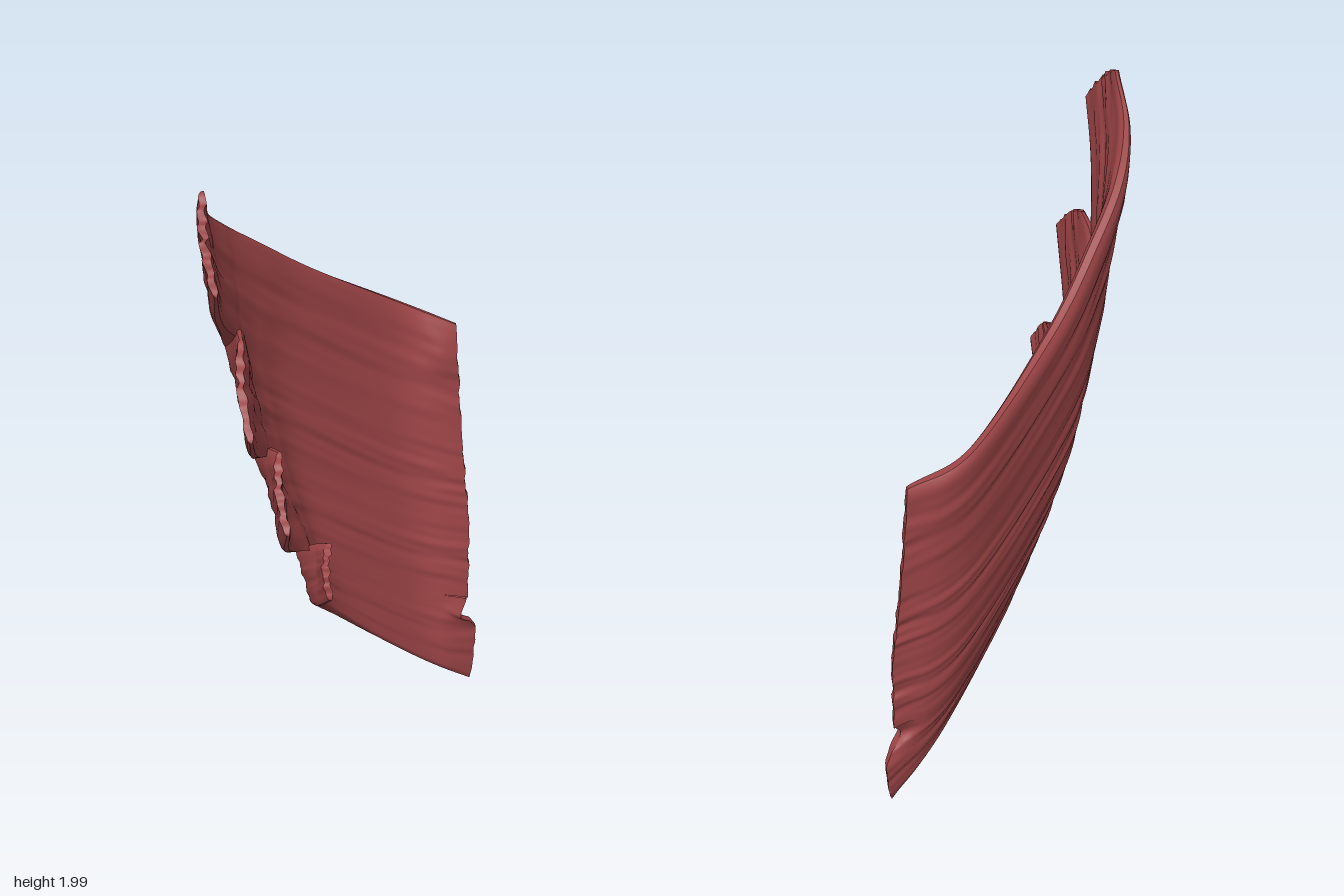
import * as THREE from 'three';
import { mergeVertices } from 'three/addons/utils/BufferGeometryUtils.js';

const NS = 72, NV = 28, HALF = 0.026, NOTCH = 1 / 3;

const curve = (pts) => new THREE.CatmullRomCurve3(
  pts.map((p) => new THREE.Vector3(...p)), false, 'catmullrom', 0.5);

// Fibre lines shared by neighbouring slips, from the notch to the inner border
const seams = [
  [[-0.31, 1.48, -0.09], [-0.18, 1.37, -0.14], [0.02, 1.23, -0.157], [0.42, 0.95, -0.08], [0.607, 0.85, 0.055]],
  [[-0.25, 1.12, -0.04], [-0.15, 1.06, -0.085], [0.02, 0.94, -0.12], [0.42, 0.66, -0.045], [0.605, 0.57, 0.092]],
  [[-0.15, 0.79, 0.025], [-0.08, 0.74, -0.015], [0.05, 0.65, -0.045], [0.42, 0.39, 0.0], [0.59, 0.31, 0.105]],
].map(curve);

// Inner edge of a slip: free from tip to notch, then along the seam
function innerEdge(seam, ...tip) {
  const free = curve([...tip, seam.points[0].toArray()]);
  return (s) => (s < NOTCH ? free.getPoint(s / NOTCH) : seam.getPoint((s - NOTCH) / (1 - NOTCH)));
}

// Outer edge of the sheet, free over its whole length
function outerEdge(...pts) {
  const line = curve(pts);
  return (s) => line.getPoint(s);
}

// Upper and lower edge of each slip, tip first
const slips = [
  {
    upper: outerEdge([-0.473, 2.0, -0.052], [-0.385, 1.895, -0.13], [-0.25, 1.795, -0.178], [-0.08, 1.68, -0.188],
      [0.15, 1.525, -0.178], [0.48, 1.32, -0.112], [0.612, 1.23, 0.018]),
    lower: innerEdge(seams[0], [-0.625, 1.80, 0.115], [-0.52, 1.665, 0.035]),
  },
  {
    upper: innerEdge(seams[0], [-0.40, 1.56, 0.01], [-0.34, 1.55, -0.05]),
    lower: innerEdge(seams[1], [-0.57, 1.37, 0.18], [-0.43, 1.235, 0.075]),
  },
  {
    upper: innerEdge(seams[1], [-0.315, 1.20, 0.07], [-0.28, 1.175, 0.0]),
    lower: innerEdge(seams[2], [-0.435, 1.03, 0.195], [-0.32, 0.895, 0.10]),
  },
  {
    upper: innerEdge(seams[2], [-0.165, 0.86, 0.13], [-0.155, 0.83, 0.07]),
    lower: outerEdge([-0.23, 0.72, 0.185], [-0.18, 0.65, 0.11], [-0.10, 0.585, 0.045], [0.02, 0.485, 0.022],
      [0.20, 0.325, 0.035], [0.42, 0.14, 0.07], [0.59, 0.01, 0.12]),
  },
];

// Direction from back to front, turning with the bend of the sheet
const facing = (p) => new THREE.Vector3(-2.2 * p.x, 0.25, 1).normalize();

// 0 at a free edge, rising to 1 inside; seams stay at 1 past the notch
function edgeTaper(k, s, v) {
  const free = 1 - THREE.MathUtils.smoothstep(s, 0.2, NOTCH);
  const round = (d) => Math.sqrt(1 - (1 - Math.min(1, d / 0.15)) ** 2);
  const top = THREE.MathUtils.lerp(1, round(v), k === 0 ? 1 : free);
  const low = THREE.MathUtils.lerp(1, round(1 - v), k === 3 ? 1 : free);
  return top * low;
}

// Point on the front (side 1) or back (side -1) of a slip
function slipPoint(k, s, v, side) {
  const p = slips[k].upper(s).lerp(slips[k].lower(s), v);
  const n = facing(p);
  const swell = Math.sin(Math.PI * v);

  // Ragged, slightly bowed tip
  const tip = Math.max(0, 1 - s / 0.1);
  const teeth = (k === 0 ? 0.007 : 0.003) * Math.sin(v * 38 + k) * Math.sqrt(Math.max(0, swell));
  p.x -= tip * (teeth + 0.02 * swell);
  p.y += tip * (teeth + 0.014 * swell);

  // Uneven inner border, with a notch and flap on the lowest slip
  const inner = Math.max(0, (s - 0.92) / 0.08);
  const ragged = 0.004 * Math.sin(v * 17 + 2 * k) + 0.003 * Math.sin(v * 41 + 5 * k);
  p.x += inner * swell * (ragged + (k === 3 ? 0.035 : -0.002));
  if (k === 3) p.x -= 0.06 * inner * Math.exp(-(((v - 0.17) / 0.12) ** 2));

  // Fibre ridges, thickness and a folded lump at the upper inner corner
  const ridge = swell * (0.003 * Math.sin(v * 19 + 5 * s + k + side)
    + 0.0025 * Math.sin(v * 43 - 9 * s + 2 * k) * Math.sin(s * 11 + v * 5));
  const ends = 0.4 + 0.6 * Math.min(1, s / 0.3, (1 - s) / 0.12 + 0.35);
  const half = HALF * ends * (0.4 + 0.6 * edgeTaper(k, s, v));
  const lump = k === 0 && side > 0
    ? 0.025 * swell * Math.exp(-(((s - 0.96) / 0.05) ** 2) - (((v - 0.25) / 0.18) ** 2)) : 0;
  return p.addScaledVector(n, side * (half + lump) + ridge);
}

// Indexed grid of nu x nv cells over fn(u, v)
function addGrid(out, nu, nv, fn, flip) {
  const base = out.pos.length / 3;
  for (let i = 0; i <= nu; i++) {
    for (let j = 0; j <= nv; j++) out.pos.push(...fn(i / nu, j / nv).toArray());
  }
  for (let i = 0; i < nu; i++) {
    for (let j = 0; j < nv; j++) {
      const a = base + i * (nv + 1) + j, b = a + 1, c = a + nv + 1, d = c + 1;
      if (flip) out.idx.push(a, c, b, b, c, d);
      else out.idx.push(a, b, c, b, d, c);
    }
  }
}

function toMesh(name, out, material) {
  let geo = new THREE.BufferGeometry();
  geo.setAttribute('position', new THREE.Float32BufferAttribute(out.pos, 3));
  geo.setIndex(out.idx);
  geo = mergeVertices(geo, 1e-5);
  geo.computeVertexNormals();
  const mesh = new THREE.Mesh(geo, material);
  mesh.name = name;
  return mesh;
}

export function createModel() {
  const group = new THREE.Group();
  group.name = 'muscleSheet';
  const material = new THREE.MeshStandardMaterial({ color: 0x9c4446, side: THREE.DoubleSide });
  const front = { pos: [], idx: [] }, back = { pos: [], idx: [] }, rim = { pos: [], idx: [] };

  slips.forEach((_, k) => {
    const at = (s, v, side) => slipPoint(k, s, v, side);
    addGrid(front, NS, NV, (s, v) => at(s, v, 1), false);
    addGrid(back, NS, NV, (s, v) => at(s, v, -1), true);
    // Thin walls: free upper and lower edges, then tip and inner border
    const topLen = k === 0 ? 1 : NOTCH, lowLen = k === 3 ? 1 : NOTCH;
    addGrid(rim, NS * topLen, 1, (s, w) => at(s * topLen, 0, 1 - 2 * w), true);
    addGrid(rim, NS * lowLen, 1, (s, w) => at(s * lowLen, 1, 1 - 2 * w), false);
    addGrid(rim, NV, 1, (v, w) => at(0, v, 1 - 2 * w), false);
    addGrid(rim, NV, 1, (v, w) => at(1, v, 1 - 2 * w), true);
  });

  group.add(
    toMesh('frontSurface', front, material),
    toMesh('backSurface', back, material),
    toMesh('rim', rim, material),
  );

  // Stand on the ground, centred
  const box = new THREE.Box3().setFromObject(group);
  const mid = box.getCenter(new THREE.Vector3());
  group.children.forEach((m) => m.geometry.translate(-mid.x, -box.min.y, -mid.z));
  return group;
}
